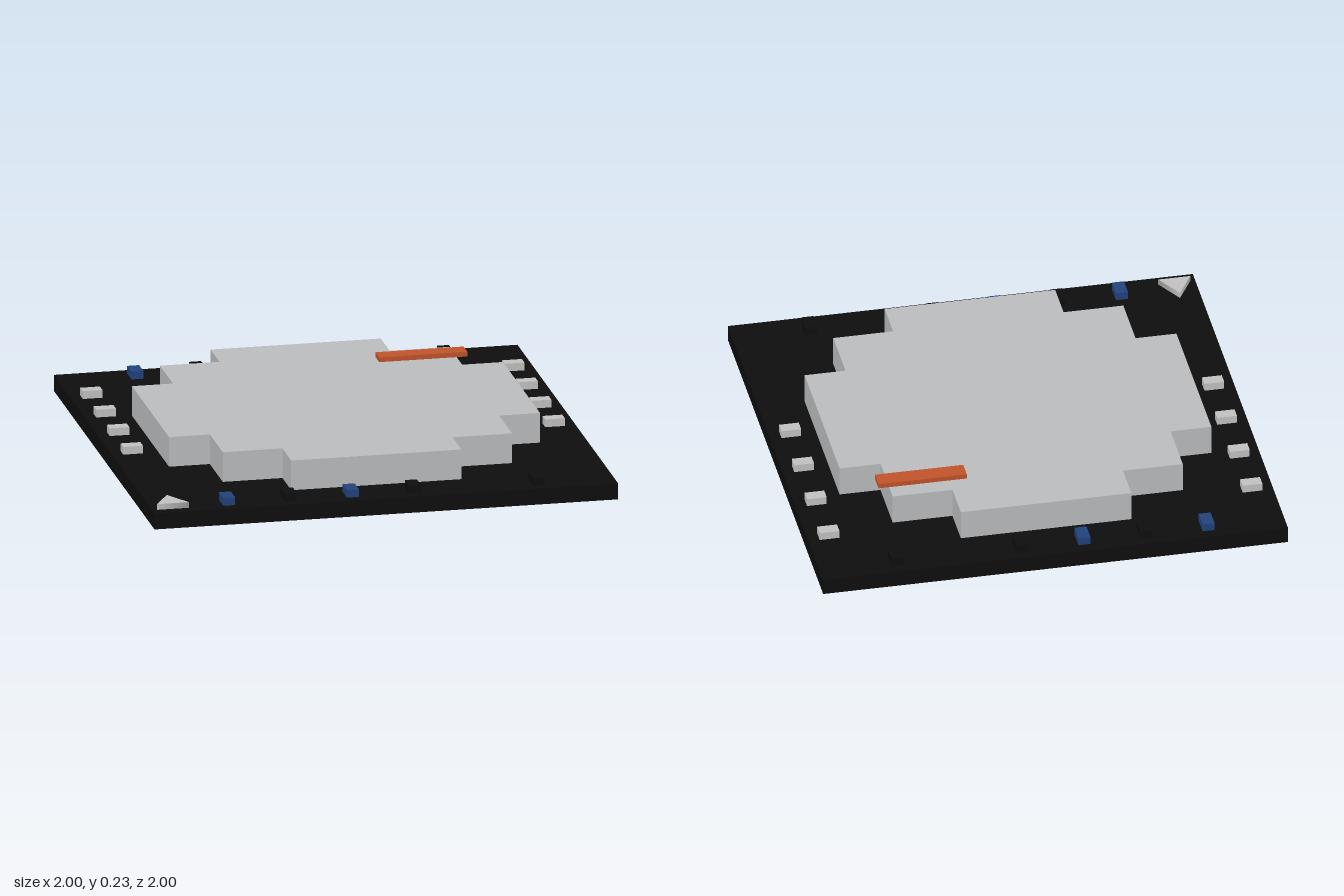
import * as THREE from 'three';

const mat = (name, color) => {
  const m = new THREE.MeshStandardMaterial({ color });
  m.name = name;
  return m;
};

export function createModel() {
  const model = new THREE.Group();
  model.name = 'chipPackage';

  const black = mat('black', 0x0d0d0d);
  const silver = mat('silver', 0xb9bbbd);
  const lightGrey = mat('light grey', 0xc0c0c0);
  const blue = mat('blue', 0x21427c);
  const orange = mat('orange', 0xc0532b);

  const add = (name, geometry, material, x, y, z, parent = model) => {
    const mesh = new THREE.Mesh(geometry, material);
    mesh.name = name;
    mesh.position.set(x, y, z);
    parent.add(mesh);
    return mesh;
  };
  // Box standing on height y0
  const box = (name, material, w, h, d, x, y0, z, parent) =>
    add(name, new THREE.BoxGeometry(w, h, d), material, x, y0 + h / 2, z, parent);

  const top = 0.083;

  // Board with a contact plate beneath
  box('contactPlate', silver, 1.86, 0.014, 1.86, 0, 0, 0);
  box('board', black, 2, top - 0.013, 2, 0, 0.013, 0);

  // Stepped lid: one corner outline, turned through four quarters
  const corner = [[0.8, 0.367], [0.624, 0.367], [0.624, 0.624], [0.367, 0.624], [0.367, 0.8]];
  const outline = [];
  for (let q = 0; q < 4; q++) {
    for (const [x, y] of corner) {
      outline.push(new THREE.Vector2(x, y).rotateAround(new THREE.Vector2(), q * Math.PI / 2));
    }
  }
  const lidHeight = 0.131;
  const lidGeometry = new THREE.ExtrudeGeometry(new THREE.Shape(outline), { depth: lidHeight, bevelEnabled: false });
  lidGeometry.rotateX(-Math.PI / 2);
  add('lid', lidGeometry, silver, 0, top, 0);

  // Marker bar overhanging the lid
  box('markerBar', orange, 0.38, 0.021, 0.075, 0.48, top + lidHeight, -0.513);

  // Small components along the four edges
  const components = new THREE.Group();
  components.name = 'edgeComponents';
  model.add(components);
  const chipHeight = 0.034;
  for (const side of [-1, 1]) {
    for (const z of [-0.668, -0.401, -0.134, 0.134]) {
      box('sideCapacitor', lightGrey, 0.085, chipHeight, 0.052, side * 0.91, top, z, components);
    }
    for (const x of [-0.668, -0.134]) {
      box('blueResistor', blue, 0.052, chipHeight, 0.085, x, top, side * 0.91, components);
    }
    for (const x of [-0.401, 0.134, 0.668]) {
      box('blackResistor', black, 0.052, chipHeight, 0.085, x, top, side * 0.91, components);
    }
  }

  // Triangular corner marker pointing to the back
  const marker = add('cornerMarker', new THREE.CylinderGeometry(0.08, 0.08, 0.025, 3), lightGrey, -0.91, top + 0.0125, 0.91);
  marker.rotation.y = Math.PI;

  return model;
}
